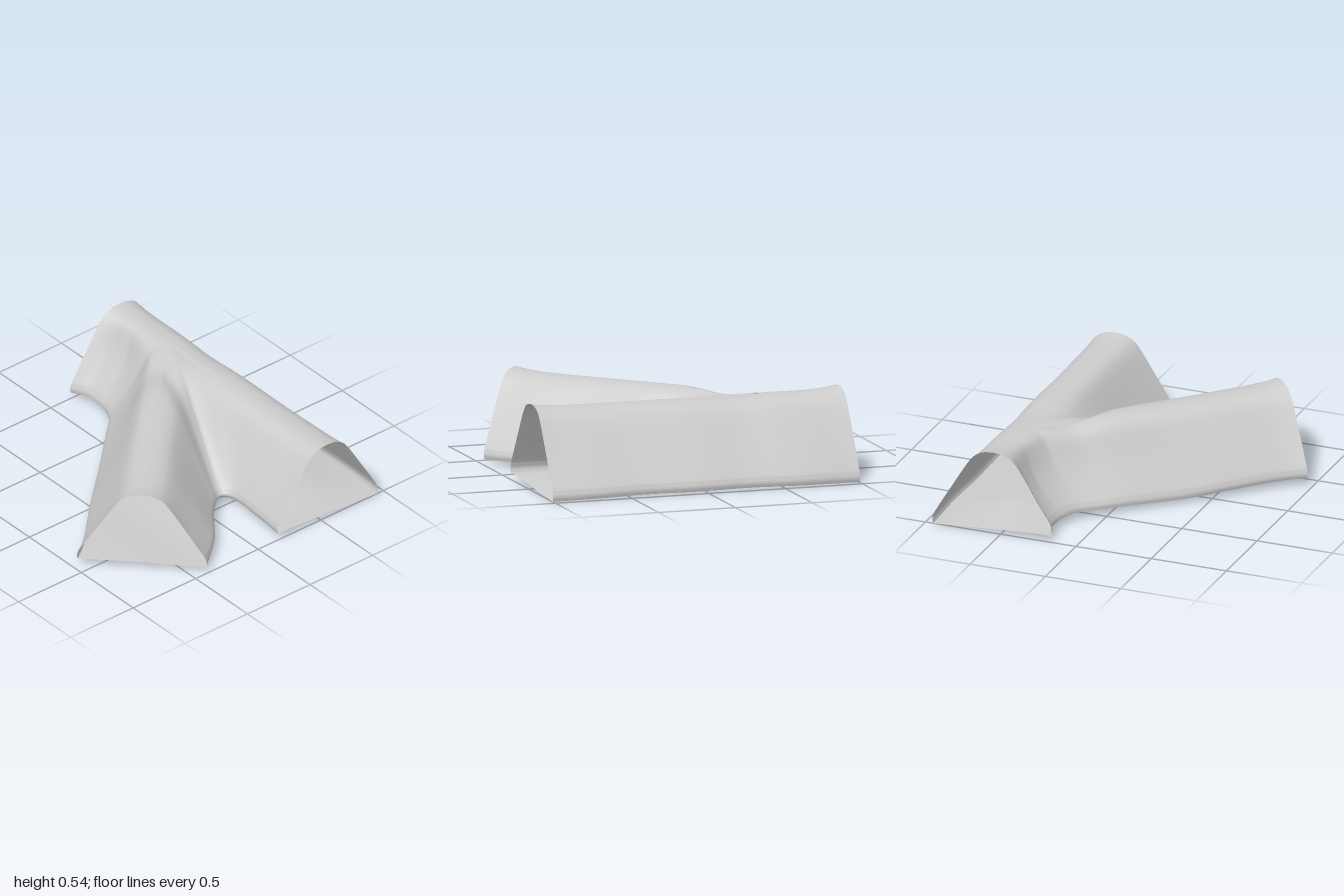
import * as THREE from 'three';

const STEPS = 10; // subdivisions between control rungs

// Height rules shared by walls and floor, so their edges meet
const bell = (d, width) => Math.exp(-((d / width) ** 2));
const floorY = (x, z) =>
  0.045 * Math.min(1, (z + 0.96) / 0.7) - 0.018 * bell(z - 0.35, 0.25) +
  0.07 * (1 - x * x) * bell(z + 0.57, 0.27);
const ridgeY = (x, z) =>
  0.517 + 0.023 * Math.max(Math.abs(x), (x + z) / 1.38) ** 8 -
  0.035 * bell(Math.hypot(x + 0.3, z + 0.37), 0.17);
const backZ = (x) => -0.954 - 0.005 * Math.sin(x * 9 + 1);

// Half arch: [how far from base to ridge, how far from floor to crown]
const archProfile = new THREE.SplineCurve(
  [[0, 0], [-0.015, 0.05], [0, 0.1], [0.05, 0.18], [0.34, 0.54], [0.62, 0.87], [0.8, 0.975], [1, 1]]
    .map(([f, h]) => new THREE.Vector2(f, h))
).getPoints(35);

// Smooth base line and straight ridge line, sampled together from rungs
// given as [baseX, baseZ, ridgeX, ridgeZ, flare of the foot]
function sampleRungs(rungs) {
  const base = new THREE.CatmullRomCurve3(rungs.map((r) => new THREE.Vector3(r[0], 0, r[1])));
  const count = (rungs.length - 1) * STEPS;
  return Array.from({ length: count + 1 }, (_, k) => {
    const i = Math.min(Math.floor(k / STEPS), rungs.length - 2);
    const t = k / STEPS - i;
    const b = base.getPoint(k / count);
    const lerp = (n) => THREE.MathUtils.lerp(rungs[i][n], rungs[i + 1][n], t);
    return [b.x, b.z, lerp(2), lerp(3), lerp(4)];
  });
}

// Skin over equally long rows of points
function skin(name, rows, flip, material) {
  const cols = rows[0].length;
  const index = [];
  for (let r = 0; r < rows.length - 1; r++) {
    for (let c = 0; c < cols - 1; c++) {
      const a = r * cols + c, b = a + 1, d = a + cols, e = d + 1;
      if (flip) index.push(a, b, d, b, e, d);
      else index.push(a, d, b, b, d, e);
    }
  }
  const geometry = new THREE.BufferGeometry();
  geometry.setAttribute('position', new THREE.Float32BufferAttribute(rows.flat(2), 3));
  geometry.setIndex(index);
  geometry.computeVertexNormals();
  const mesh = new THREE.Mesh(geometry, material);
  mesh.name = name;
  return mesh;
}

// Wall rising from its base line to the ridge along the arch profile
const wallRows = (rungs) => rungs.map(([bx, bz, tx, tz, flare]) => {
  const low = floorY(bx, bz), high = ridgeY(tx, tz);
  return archProfile.map(({ x, y: h }) => {
    const f = x + flare * Math.sin(Math.PI * h);
    return [bx + (tx - bx) * f, low + (high - low) * h, bz + (tz - bz) * f];
  });
});

// Floor strip spanning pairs of opposite edge points
const floorRows = (pairs) => pairs.map(([ax, az, bx, bz]) =>
  Array.from({ length: 21 }, (_, i) => {
    const x = ax + (bx - ax) * i / 20, z = az + (bz - az) * i / 20;
    return [x, floorY(x, z), z];
  }));

export function createModel() {
  const group = new THREE.Group();
  group.name = 'tunnelJunction';
  const material = new THREE.MeshStandardMaterial({ color: 0xcccccc, side: THREE.DoubleSide });

  // Main tunnel's front wall, bending into the branch's left-hand side
  const outer = sampleRungs([
    [-1, -0.16, -1, -0.55, 0], [-0.9, -0.205, -0.89, -0.55, 0.1], [-0.75, -0.2, -0.74, -0.55, 0.16],
    [-0.62, -0.15, -0.5, -0.52, 0.09], [-0.5, -0.03, -0.31, -0.33, 0.07],
    [-0.25, 0.23, -0.01, -0.03, 0.03], [0, 0.5, 0.26, 0.24, 0],
    [0.33, 0.84, 0.59, 0.57, 0], [0.42, 0.96, 0.7, 0.68, 0],
  ]);
  // Wall round the crotch, from the main tunnel's far end to the branch mouth
  const crotch = sampleRungs([
    [1, -0.16, 1, -0.55, 0], [0.75, -0.18, 0.6, -0.55, 0], [0.53, -0.18, 0, -0.55, 0],
    [0.47, -0.13, -0.5, -0.52, 0], [0.53, -0.04, -0.1, -0.12, 0], [0.6, 0.03, 0.15, 0.13, 0],
    [0.66, 0.08, 0.3, 0.28, 0], [0.8, 0.19, 0.5, 0.48, 0], [0.98, 0.4, 0.7, 0.68, 0],
  ]);
  // Straight back wall
  const back = Array.from({ length: 61 }, (_, i) => {
    const x = -1 + i / 30;
    return [x, backZ(x), x, -0.55, 0];
  });

  // Both curved walls part from the main tunnel at the fourth rung
  const split = 3 * STEPS;
  const mainFront = [...outer.slice(0, split + 1), ...crotch.slice(0, split + 1).reverse()];
  const mainFloor = mainFront.map(([x, z]) => [x, backZ(x), x, z]);
  const branchFloor = [];
  for (let k = split; k < outer.length; k++) {
    branchFloor.push([outer[k][0], outer[k][1], crotch[k][0], crotch[k][1]]);
  }
  // Sliver of crown between the rounded bend and the main ridge
  const crown = mainFront
    .map(([, , x, z]) => [[x, ridgeY(x, z), z], [x, ridgeY(x, -0.55), -0.55]])
    .filter(([[x]]) => x >= -0.75 && x <= 0.01);

  group.add(
    skin('outerBendWall', wallRows(outer), false, material),
    skin('crotchWall', wallRows(crotch), true, material),
    skin('backWall', wallRows(back), true, material),
    skin('crown', crown, false, material),
    skin('mainFloor', floorRows(mainFloor), false, material),
    skin('branchFloor', floorRows(branchFloor), true, material)
  );
  return group;
}
